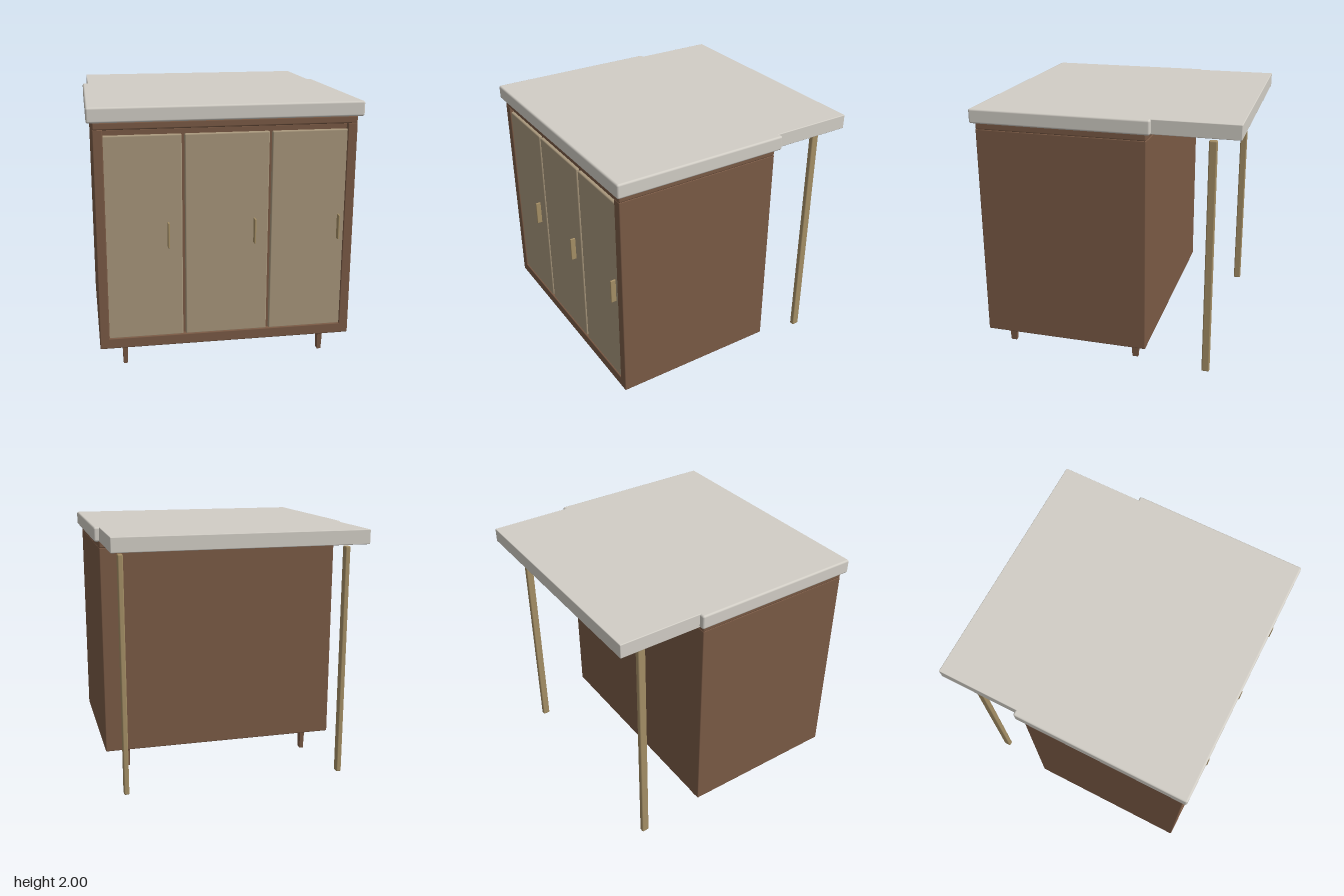
import * as THREE from 'three';
import { RoundedBoxGeometry } from 'three/addons/geometries/RoundedBoxGeometry.js';

const material = (color) => new THREE.MeshStandardMaterial({ color });

export function createModel() {
  const model = new THREE.Group();
  model.name = 'extendingCabinetTable';
  const walnut = material(0x7a5a45);
  const panel = material(0xa8977c);
  const oak = material(0xa58f66);
  const stone = material(0xd2cec6);

  // Softly rounded box given by its extents on each axis
  function slab(name, mat, [x0, x1], [y0, y1], [z0, z1], radius = 0.008) {
    const geometry = new RoundedBoxGeometry(x1 - x0, y1 - y0, z1 - z0, 2, radius);
    const mesh = new THREE.Mesh(geometry, mat);
    mesh.name = name;
    mesh.position.set((x0 + x1) / 2, (y0 + y1) / 2, (z0 + z1) / 2);
    model.add(mesh);
    return mesh;
  }

  // Worktop and the narrower leaf extending behind it
  slab('worktop', stone, [-1, 1], [1.89, 2], [-0.365, 1], 0.015);
  slab('extensionLeaf', stone, [-0.96, 0.96], [1.89, 2], [-1, -0.33], 0.006);

  // Cabinet carcass with a raised frame around the doors
  slab('topRail', walnut, [-0.96, 0.96], [1.835, 1.892], [-0.33, 0.97], 0.012);
  slab('carcass', walnut, [-0.955, 0.955], [0.185, 1.835], [-0.33, 0.935]);
  slab('bottomPanel', walnut, [-0.96, 0.96], [0.18, 0.262], [-0.33, 0.97]);
  for (const side of [-1, 1]) {
    const edges = [side * 0.96, side * 0.888].sort((a, b) => a - b);
    slab(side > 0 ? 'leftSidePanel' : 'rightSidePanel', walnut, edges, [0.18, 1.84], [-0.33, 0.97]);
  }

  // Three doors, the outer two tucked behind the side panels, each with a pull
  for (let i = -1; i <= 1; i++) {
    const x = i * 0.64;
    slab('door', panel, [Math.max(x - 0.312, -0.91), Math.min(x + 0.308, 0.91)], [0.255, 1.793], [0.92, 0.96], 0.01);
    slab('doorHandle', oak, [x + 0.196, x + 0.21], [0.96, 1.15], [0.95, 1], 0.005);
  }

  // Tapered cabinet feet: a box whose lower end is narrowed
  const foot = new THREE.BoxGeometry(0.04, 0.19, 0.07);
  const p = foot.attributes.position;
  for (let i = 0; i < p.count; i++) {
    if (p.getY(i) < 0) p.setXYZ(i, p.getX(i) * 0.75, p.getY(i), p.getZ(i) * 0.65);
  }
  foot.computeVertexNormals();
  for (const x of [-0.77, 0.77]) {
    for (const z of [-0.205, 0.84]) {
      const mesh = new THREE.Mesh(foot, walnut);
      mesh.name = 'cabinetFoot';
      mesh.position.set(x, 0.095, z);
      model.add(mesh);
    }
    // Slim post below the extension leaf
    const px = Math.sign(x) * 0.868;
    slab('leafPost', oak, [px - 0.02, px + 0.02], [0.015, 1.855], [-0.82, -0.76], 0.01);
  }
  return model;
}
